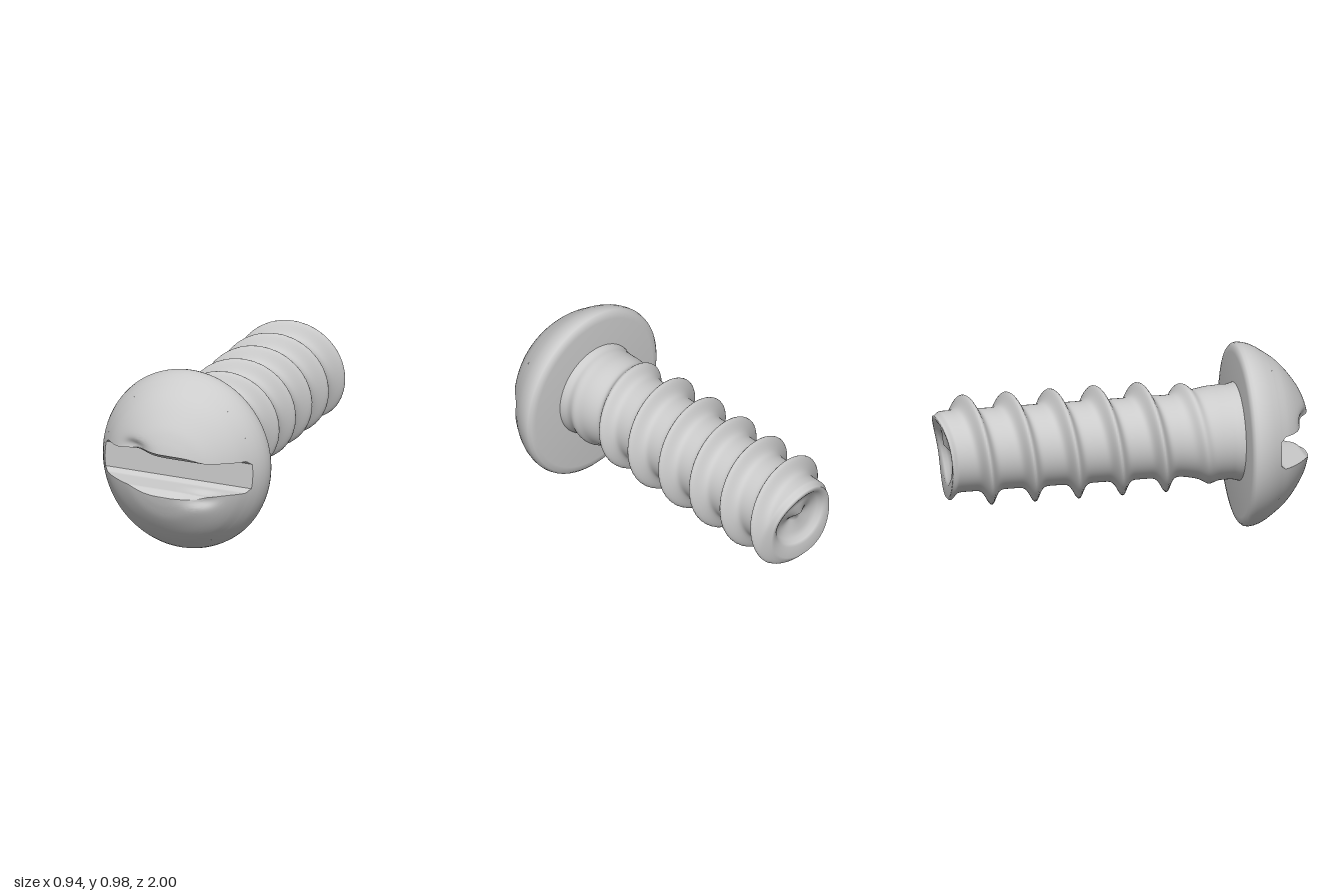
import * as THREE from 'three';
import { toCreasedNormals } from 'three/addons/utils/BufferGeometryUtils.js';

const material = new THREE.MeshStandardMaterial({ color: 0xcccccc, roughness: 0.7 });
const { lerp, smoothstep } = THREE.MathUtils;

// Skin closed rings (counter-clockwise seen from +z, stacked towards +z), with fan caps.
function loft(rings, capStart, capEnd) {
  const n = rings[0].length, pos = [], index = [];
  rings.forEach(ring => ring.forEach(p => pos.push(...p)));
  for (let i = 0; i < rings.length - 1; i++) {
    for (let j = 0; j < n; j++) {
      const a = i * n + j, b = i * n + (j + 1) % n;
      index.push(a, b, a + n, b, b + n, a + n);
    }
  }
  const cap = (row, flip) => {
    const mid = [0, 1, 2].map(k => rings[row].reduce((s, p) => s + p[k], 0) / n);
    const c = pos.push(...mid) / 3 - 1;
    for (let j = 0; j < n; j++) {
      const a = row * n + j, b = row * n + (j + 1) % n;
      if (flip) index.push(c, b, a); else index.push(c, a, b);
    }
  };
  if (capStart) cap(0, true);
  if (capEnd) cap(rings.length - 1, false);
  const geo = new THREE.BufferGeometry();
  geo.setAttribute('position', new THREE.Float32BufferAttribute(pos, 3));
  geo.setIndex(index);
  geo.computeVertexNormals();
  return geo;
}

function mesh(name, geo) {
  const m = new THREE.Mesh(geo, material);
  m.name = name;
  return m;
}

// Underside, rim and slot floor of the head
function headBase() {
  const profile = [[0, 0.62], [0.44, 0.62], [0.472, 0.624], [0.486, 0.637], [0.49, 0.655],
    [0.487, 0.68], [0.478, 0.71], [0.46, 0.745], [0.436, 0.78], [0, 0.78]];
  const geo = new THREE.LatheGeometry(profile.map(p => new THREE.Vector2(...p)), 96);
  geo.rotateX(Math.PI / 2);
  return toCreasedNormals(geo, 0.8);
}

// One half of the dome beside the slot: circular segments stacked along z
function halfDome() {
  const curve = new THREE.SplineCurve([[0.436, 0.78], [0.39, 0.84], [0.33, 0.895],
    [0.25, 0.95], [0.18, 0.981], [0.122, 0.998]].map(p => new THREE.Vector2(...p)));
  const arcN = 56, chordN = 32, rings = [];
  for (const { x: R, y: z } of curve.getPoints(44)) {
    // fillet at the slot floor, rounded lip at the top
    const h = 0.088 - 0.02 * (1 - smoothstep(z, 0.78, 0.81)) + 0.028 * smoothstep(z, 0.95, 1);
    const a = Math.asin(h / R), w = R * Math.cos(a), ring = [];
    const add = (x, y) => {
      // worn dent in the lip
      const g = Math.exp(-(((x + 0.2) / 0.09) ** 2) - ((y - 0.1) / 0.05) ** 2);
      ring.push([x, y + 0.02 * g * smoothstep(z, 0.84, 0.93), z - 0.04 * g * smoothstep(z, 0.84, 0.95)]);
    };
    for (let j = 0; j < arcN; j++) {
      const t = lerp(a, Math.PI - a, j / arcN);
      add(R * Math.cos(t), R * Math.sin(t));
    }
    for (let j = 0; j < chordN; j++) add(lerp(-w, w, j / chordN), h);
    rings.push(ring);
  }
  return toCreasedNormals(loft(rings, false, true), 0.9);
}

// Shank with one helical thread and a dished, slanted tip
function threadedShank() {
  const N = 72, rows = 230, pitch = 0.235, rings = [];
  const tipSlant = t => 0.026 * (1 - Math.sin(t)) + 0.012 * (1 + Math.cos(2 * t + 0.6));
  const ringAt = fn => rings.push(Array.from({ length: N }, (_, j) => {
    const t = j / N * Math.PI * 2, [r, z] = fn(t);
    return [r * Math.cos(t), r * Math.sin(t), z];
  }));
  // dished end face
  for (const [r, depth] of [[0.04, 0.045], [0.11, 0.042], [0.145, 0.032], [0.165, 0.012], [0.18, 0.003]]) {
    ringAt(t => [r, -1 + depth + tipSlant(t)]);
  }
  for (let i = 0; i <= rows; i++) {
    ringAt(t => {
      const base = lerp(-1, 0.63, i / rows);
      const z = base + tipSlant(t) * (1 - smoothstep(base, -1, -0.8));
      // signed distance along the axis to the nearest thread crest
      const u = (z - 0.06) / pitch - t / (Math.PI * 2);
      const d = Math.abs(u - Math.round(u)) * pitch;
      const crest = Math.exp(-((d / 0.034) ** 2));
      const height = 0.078 * smoothstep(z, -1.02, -0.9) * (1 - 0.8 * smoothstep(z, 0.2, 0.5))
        * (1 - smoothstep(z, 0.48, 0.6));
      const core = 0.217 + 0.033 * smoothstep(z, 0.28, 0.5) + 0.012 * smoothstep(z, 0.57, 0.63)
        - 0.022 * (1 - smoothstep(base, -1, -0.96));
      return [core + height * crest, z];
    });
  }
  return loft(rings, true, false);
}

export function createModel() {
  const model = new THREE.Group();
  model.name = 'slottedScrew';

  const head = new THREE.Group();
  head.name = 'head';
  head.position.y = 0.49;
  head.scale.x = 0.96;
  head.add(mesh('headBase', headBase()));
  const domes = new THREE.Group();
  domes.name = 'slottedDome';
  domes.rotation.z = -0.035;
  const domeGeo = halfDome();
  for (const [name, turn] of [['upperHalfDome', 0], ['lowerHalfDome', Math.PI]]) {
    const half = mesh(name, domeGeo);
    half.rotation.z = turn;
    domes.add(half);
  }
  head.add(domes);

  const shank = mesh('threadedShank', threadedShank());
  shank.position.set(-0.012, 0.513, 0);

  model.add(head, shank);
  return model;
}
